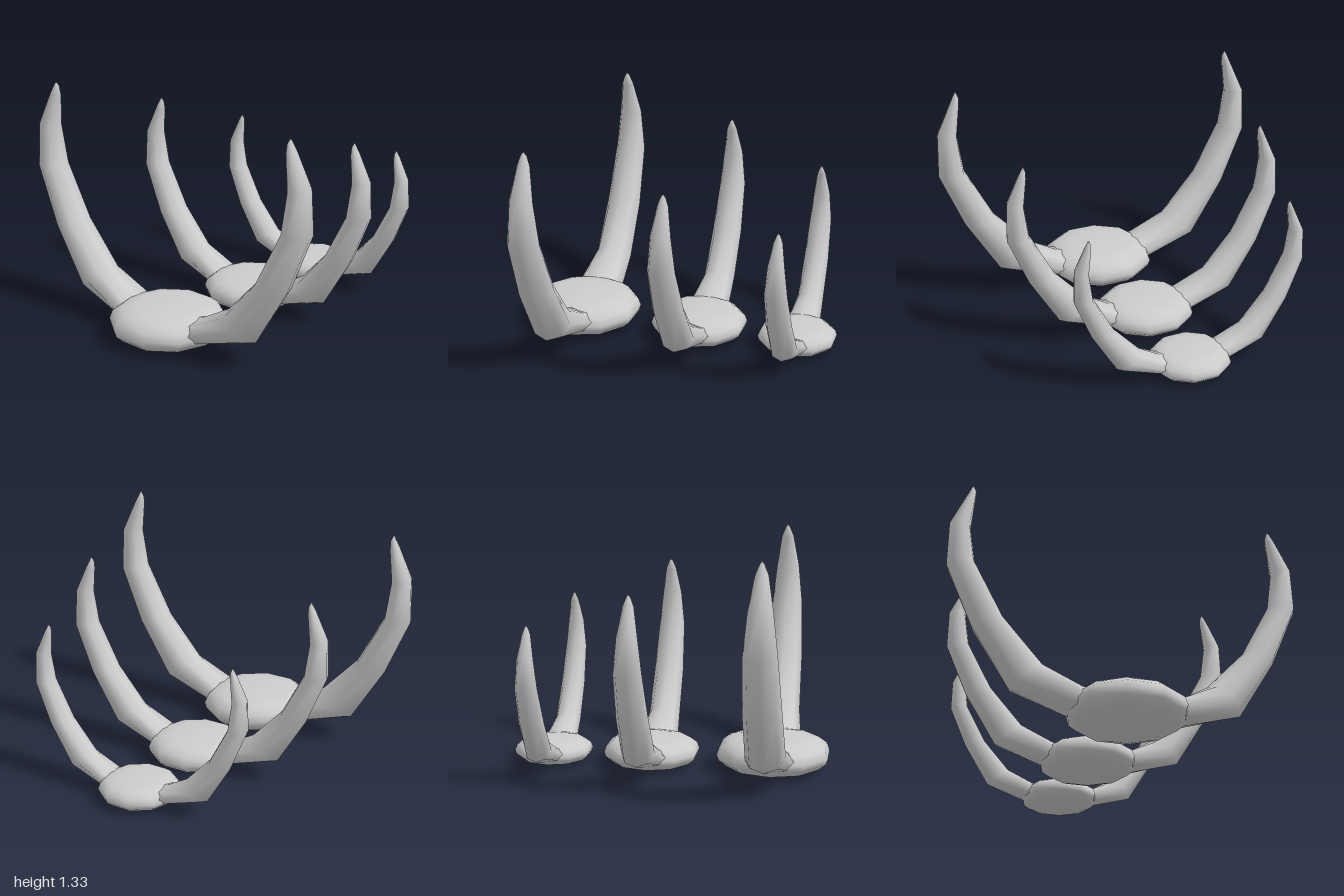
import * as THREE from 'three';

const material = new THREE.MeshStandardMaterial({ color: 0xcccccc });

// Flattened ten-sided disc with a rounded rim
function discGeometry() {
  const profile = [[0, 0], [0.2, 0.003], [0.28, 0.028], [0.325, 0.065], [0.337, 0.1],
    [0.32, 0.145], [0.27, 0.182], [0.18, 0.2], [0, 0.205]];
  return new THREE.LatheGeometry(profile.map(([r, y]) => new THREE.Vector2(r, y)), 10, Math.PI / 2);
}

// Curved, tapering rib: each section is [outer x, outer y, inner x, inner y, half depth]
function ribGeometry() {
  const sections = [
    [0.18, 0.025, 0.18, 0.175, 0.155],
    [0.29, 0.052, 0.27, 0.195, 0.14],
    [0.645, 0.153, 0.457, 0.3, 0.112],
    [0.853, 0.49, 0.675, 0.53, 0.107],
    [0.997, 0.825, 0.842, 0.84, 0.093],
    [0.99, 1.08, 0.874, 1.064, 0.068],
    [0.9, 1.27, 0.853, 1.25, 0.036],
    [0.875, 1.325, 0.85, 1.29, 0.016],
    [0.868, 1.332, 0.864, 1.328, 0.001],
  ];
  const sides = 8, positions = [], index = [];
  sections.forEach(([ox, oy, ix, iy, depth], i) => {
    for (let j = 0; j < sides; j++) {
      const a = (j / sides) * Math.PI * 2, c = Math.cos(a) / 2;
      positions.push((ox + ix) / 2 + c * (ox - ix), (oy + iy) / 2 + c * (oy - iy), Math.sin(a) * depth);
      if (i === 0) continue;
      const k = (j + 1) % sides, low = (i - 1) * sides, high = i * sides;
      index.push(low + j, high + j, low + k, low + k, high + j, high + k);
    }
  });
  const geometry = new THREE.BufferGeometry();
  geometry.setAttribute('position', new THREE.Float32BufferAttribute(positions, 3));
  geometry.setIndex(index);
  geometry.computeVertexNormals();
  return geometry;
}

export function createModel() {
  const model = new THREE.Group();
  model.name = 'ribcage';
  const disc = discGeometry(), rib = ribGeometry();

  // Three segments, shrinking towards the back
  const segments = [['front', 0.6, 1], ['middle', -0.115, 0.842], ['rear', -0.705, 0.688]];
  for (const [name, z, scale] of segments) {
    const segment = new THREE.Group();
    segment.name = name + 'Segment';
    segment.position.z = z;
    segment.scale.setScalar(scale);

    const centre = new THREE.Mesh(disc, material);
    centre.name = 'centreDisc';
    const left = new THREE.Mesh(rib, material);
    left.name = 'leftRib';
    // The rib is symmetric in depth, so a half turn mirrors it
    const right = new THREE.Mesh(rib, material);
    right.name = 'rightRib';
    right.rotation.y = Math.PI;

    segment.add(centre, left, right);
    model.add(segment);
  }
  return model;
}
